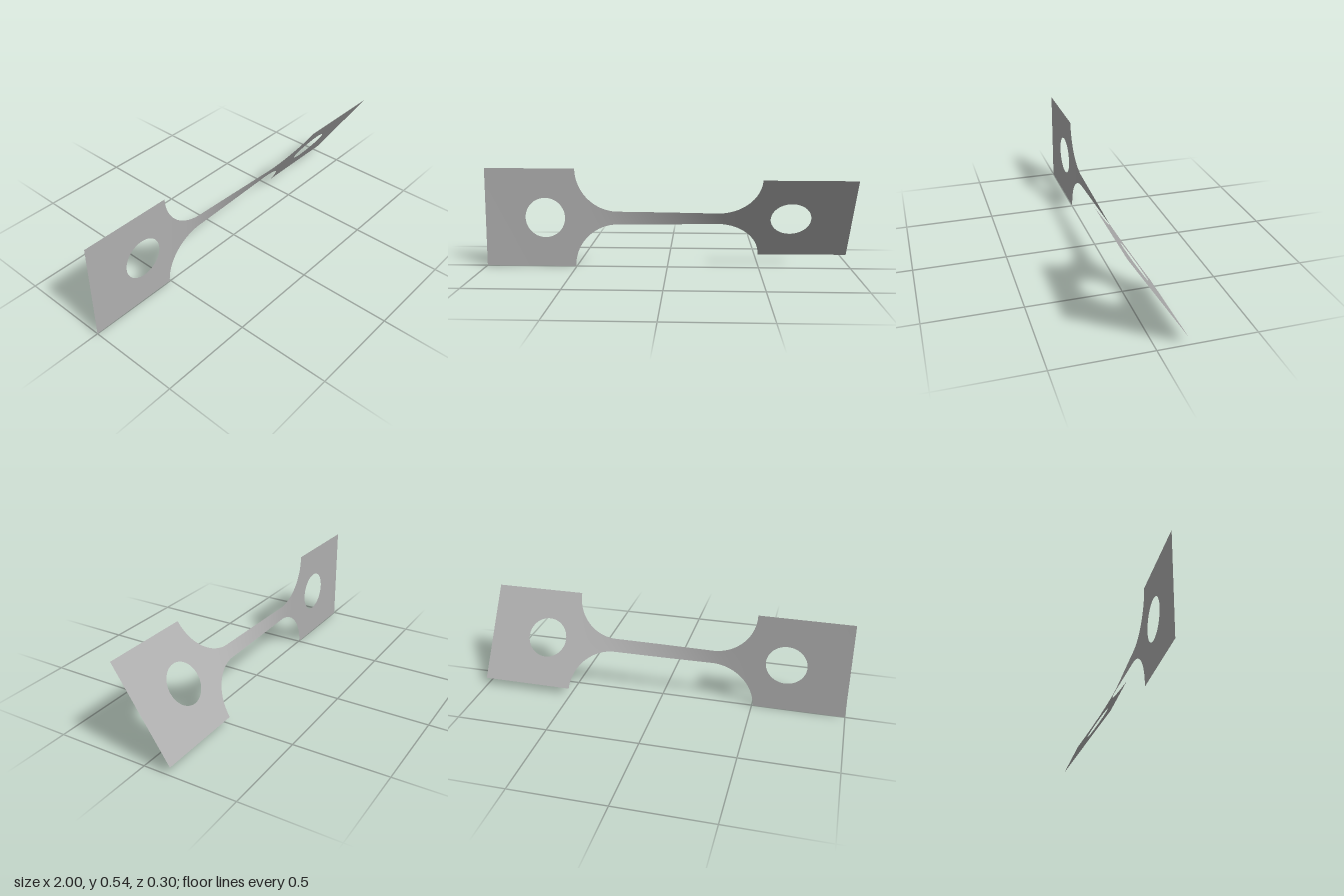
import * as THREE from 'three';

const HALF = 0.271;      // half height of the end plates
const NECK = 0.036;      // half height of the neck
const FILLET = HALF - NECK;
const FILLET_X = 0.27;   // where the fillets meet the straight neck
const PLATE_X = FILLET_X + FILLET;
const HOLE_X = 0.67, HOLE_R = 0.109;
const TWIST = THREE.MathUtils.degToRad(33.4);
const SIDE = 24;         // segments across the strip

function halfHeight(x) {
  const d = Math.abs(x) - FILLET_X;
  if (d <= 0) return NECK;
  if (d >= FILLET) return HALF;
  return HALF - Math.sqrt(FILLET * FILLET - d * d);
}

// Twist builds up along x, fastest where the strip is narrow
const STEPS = 800;
const sums = [0];
for (let i = 0; i < STEPS; i++) {
  const x = -1 + (2 * (i + 0.5)) / STEPS;
  sums.push(sums[i] + 1 / halfHeight(x) ** 2);
}
function twistAt(x) {
  const t = THREE.MathUtils.clamp((x + 1) / 2, 0, 1) * STEPS;
  const i = Math.min(Math.floor(t), STEPS - 1);
  return (TWIST * THREE.MathUtils.lerp(sums[i], sums[i + 1], t - i)) / sums[STEPS];
}

// Skin a sheet through rows of flat [x, y] points, twisted about the x axis
function sheet(name, rows, material) {
  const positions = [], index = [];
  const n = rows[0].length;
  for (const row of rows) {
    for (const [x, y] of row) {
      const a = twistAt(x);
      positions.push(x, HALF + y * Math.cos(a), y * Math.sin(a));
    }
  }
  for (let r = 0; r < rows.length - 1; r++) {
    for (let i = 0; i < n - 1; i++) {
      const a = r * n + i, b = a + n;
      index.push(a, b, b + 1, a, b + 1, a + 1);
    }
  }
  const geometry = new THREE.BufferGeometry();
  geometry.setAttribute('position', new THREE.Float32BufferAttribute(positions, 3));
  geometry.setIndex(index);
  geometry.computeVertexNormals();
  const mesh = new THREE.Mesh(geometry, material);
  mesh.name = name;
  return mesh;
}

// Neck with its four fillets: stations evenly spaced by arc angle
function neckRows() {
  const stations = [];
  const arc = 24, straight = 40;
  for (let i = 0; i < arc; i++) {
    stations.push(-FILLET_X - FILLET * Math.cos((i / arc) * Math.PI / 2));
  }
  for (let i = 0; i <= straight; i++) stations.push(FILLET_X * (2 * i / straight - 1));
  for (let i = 1; i <= arc; i++) {
    stations.push(FILLET_X + FILLET * Math.sin((i / arc) * Math.PI / 2));
  }
  return stations.map((x) => {
    const h = halfHeight(x);
    return Array.from({ length: SIDE + 1 }, (_, j) => [x, h * (2 * j / SIDE - 1)]);
  });
}

// End plate: loops growing from the round hole out to the rectangle
function plateRows(side) {
  const cx = side * HOLE_X;
  const x0 = side > 0 ? PLATE_X : -1, x1 = side > 0 ? 1 : -PLATE_X;
  const corners = [[x0, -HALF], [x1, -HALF], [x1, HALF], [x0, HALF]];
  const outer = [];
  corners.forEach(([ax, ay], k) => {
    const [bx, by] = corners[(k + 1) % 4];
    for (let j = 0; j < SIDE; j++) {
      outer.push([ax + (bx - ax) * j / SIDE, ay + (by - ay) * j / SIDE]);
    }
  });
  outer.push(outer[0]);
  const rings = 8;
  return Array.from({ length: rings + 1 }, (_, r) => outer.map(([x, y]) => {
    const s = HOLE_R / Math.hypot(x - cx, y);
    const k = s + (1 - s) * r / rings;
    return [cx + (x - cx) * k, y * k];
  }));
}

export function createModel() {
  const metal = new THREE.MeshStandardMaterial({ color: 0xb0b0b0, side: THREE.DoubleSide });
  metal.name = 'grey metal';
  const group = new THREE.Group();
  group.name = 'twistedStrip';
  group.add(
    sheet('neck', neckRows(), metal),
    sheet('leftEndPlate', plateRows(1), metal),
    sheet('rightEndPlate', plateRows(-1), metal),
  );
  return group;
}
